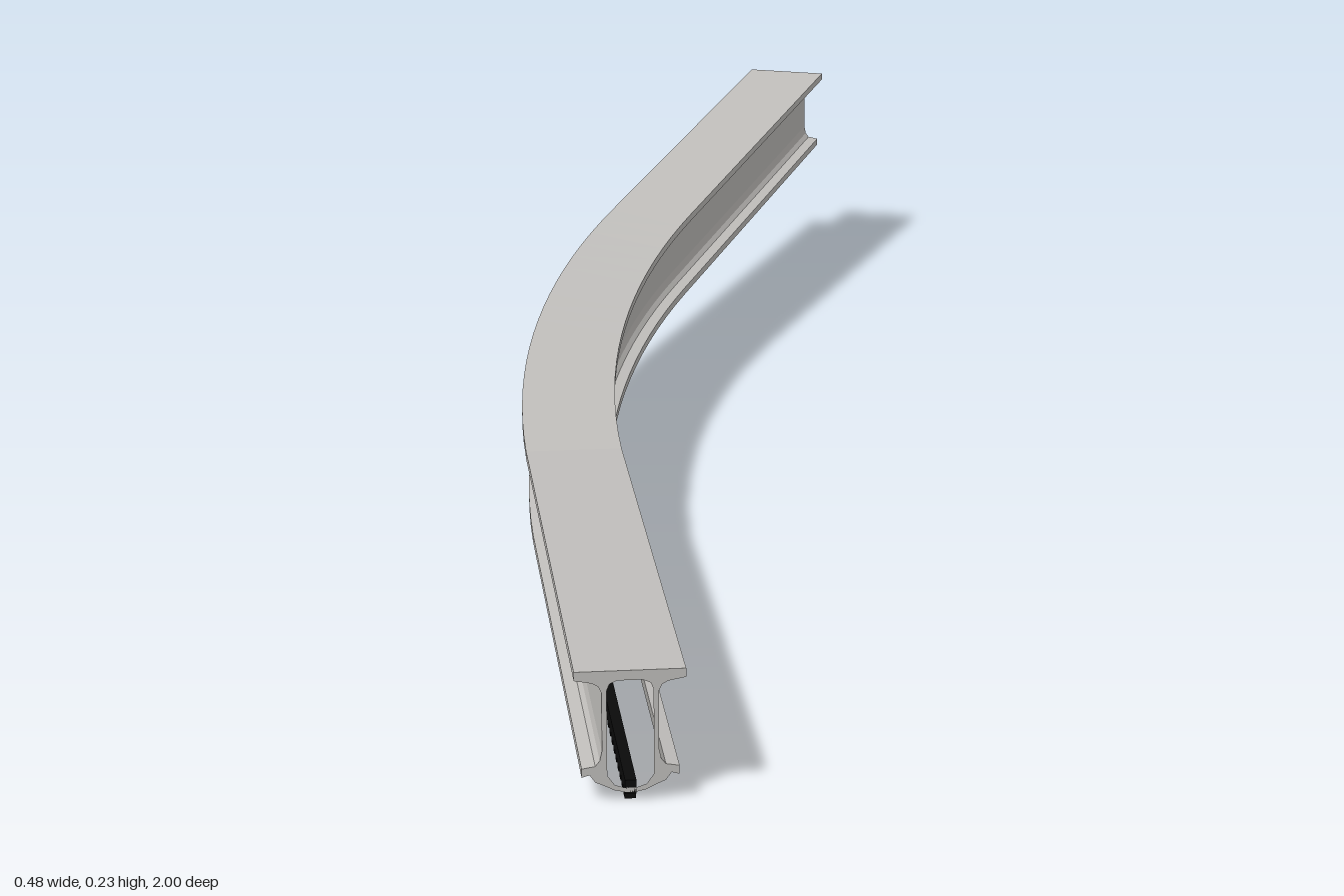
import * as THREE from 'three';

// Plan of the track: straight lead-in, circular bend, straight climb
const START_X = -0.193, LEAD = 0.65, RADIUS = 1.98, TURN = Math.PI / 8;
const ARC = RADIUS * TURN;
const ARC_END_Z = 1 - LEAD - RADIUS * Math.sin(TURN);
const CLIMB = (ARC_END_Z + 0.981) / Math.cos(TURN);
const LENGTH = LEAD + ARC + CLIMB;
const RISE = 0.111;

// Position and heading at distance s along the track
function trackAt(s) {
  const a = THREE.MathUtils.clamp((s - LEAD) / RADIUS, 0, TURN);
  const extra = Math.max(0, s - LEAD - ARC);
  return {
    x: START_X + RADIUS * (1 - Math.cos(a)) + extra * Math.sin(TURN),
    y: RISE * Math.max(0, s - LEAD) / (LENGTH - LEAD),
    z: 1 - Math.min(s, LEAD) - RADIUS * Math.sin(a) - extra * Math.cos(TURN),
    a,
  };
}

// Stations from the far end to the front
const BEND_STEPS = 18;
const stations = [LENGTH];
for (let i = BEND_STEPS; i >= 0; i--) stations.push(LEAD + ARC * i / BEND_STEPS);
stations.push(0);

// Extrude a cross-section, then lay each layer on its station
function sweep(shape) {
  const steps = stations.length - 1;
  const geo = new THREE.ExtrudeGeometry(shape, { depth: steps, steps, bevelEnabled: false });
  const p = geo.attributes.position;
  for (let i = 0; i < p.count; i++) {
    const t = trackAt(stations[Math.round(p.getZ(i))]);
    const u = p.getX(i);
    p.setXYZ(i, t.x + u * Math.cos(t.a), p.getY(i) + t.y, t.z + u * Math.sin(t.a));
  }
  geo.computeVertexNormals();
  return geo;
}

// Full outline from its right half
function mirrored(half) {
  const left = half.map(([x, y]) => [-x, y]).reverse();
  return [...half, ...left].map(([x, y]) => new THREE.Vector2(x, y));
}

export function createModel() {
  const group = new THREE.Group();
  const steel = new THREE.MeshStandardMaterial({ color: 0xc0bebb });
  steel.name = 'light grey steel';
  const black = new THREE.MeshStandardMaterial({ color: 0x0a0a0a });
  black.name = 'black rack';

  // Hollow beam with wide top flange and grooved bottom flange
  const section = new THREE.Shape(mirrored([
    [0.049, 0.121], [0.049, 0.113], [0.033, 0.110], [0.028, 0.107], [0.025, 0.101],
    [0.025, 0.047], [0.027, 0.038], [0.031, 0.033], [0.043, 0.031], [0.043, 0.023],
    [0.036, 0.025], [0.031, 0.018], [0.024, 0.015], [0.014, 0.010], [0.005, 0.008],
  ]));
  section.holes.push(new THREE.Path(mirrored([
    [0.011, 0.112], [0.018, 0.109], [0.0205, 0.103], [0.0205, 0.024], [0.014, 0.015], [0.005, 0.012],
  ])));
  const beam = new THREE.Mesh(sweep(section), steel);
  beam.name = 'beam';
  group.add(beam);

  // Rack strip along the slot in the floor
  const strip = new THREE.Shape(mirrored([[0.005, 0.019], [0.005, 0.006]]));
  const rack = new THREE.Mesh(sweep(strip), black);
  rack.name = 'rackStrip';
  group.add(rack);

  // Rack teeth below the strip
  const teeth = new THREE.Group();
  teeth.name = 'rackTeeth';
  const toothGeo = new THREE.BoxGeometry(0.01, 0.012, 0.012);
  const count = 96;
  for (let i = 0; i < count; i++) {
    const t = trackAt((i + 0.5) * LENGTH / count);
    const tooth = new THREE.Mesh(toothGeo, black);
    tooth.name = 'rackTooth';
    tooth.position.set(t.x, t.y + 0.006, t.z);
    tooth.rotation.y = -t.a;
    teeth.add(tooth);
  }
  group.add(teeth);
  return group;
}
